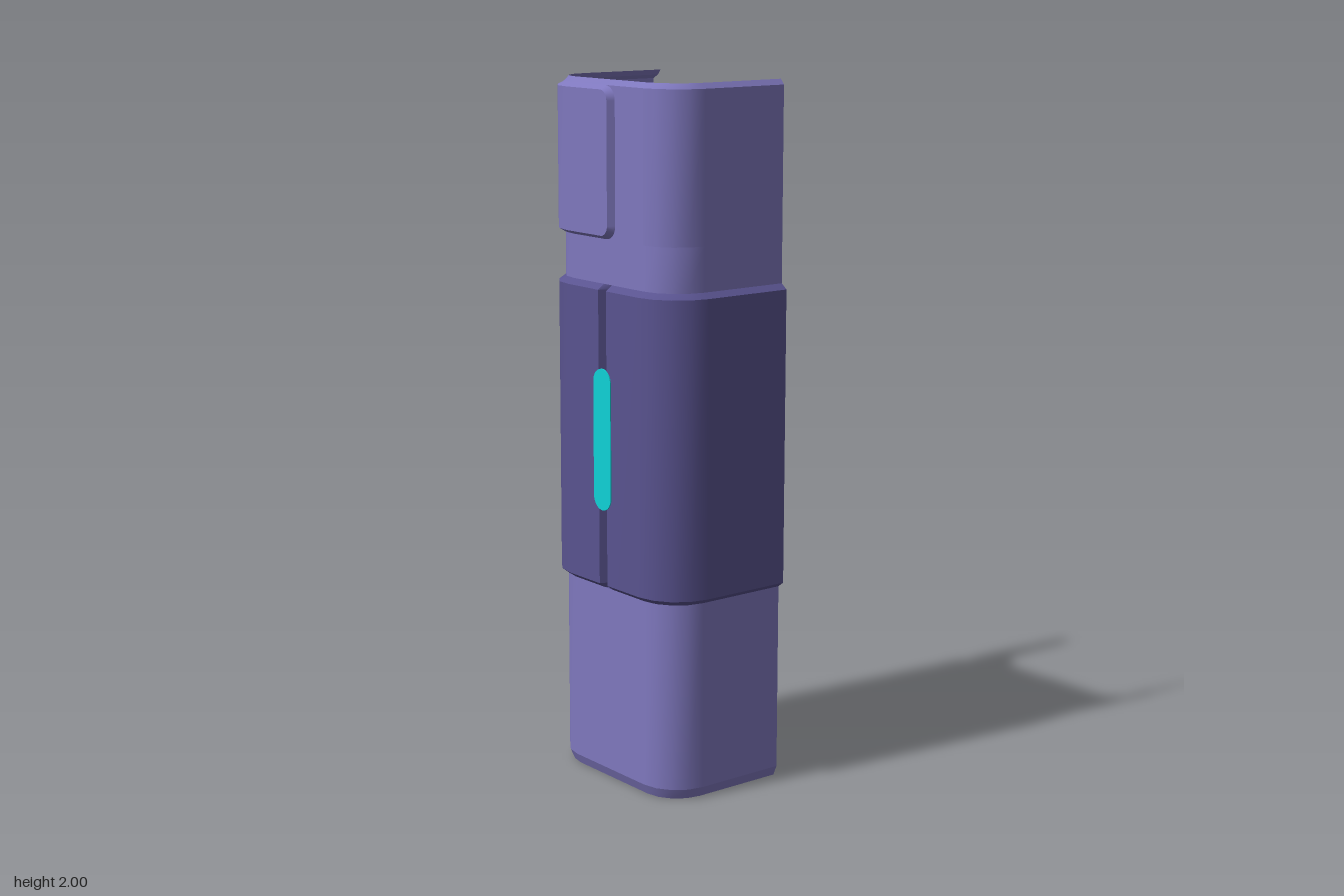
import * as THREE from 'three';

const BODY_R = 0.118, RAISED_R = 0.138, RIM_R = 0.105; // corner radii = offset of each layer
const CX = 0.16, CZ = 0.065, BACK = -0.21;
const PATCH_LOW = 1.565, PATCH_HIGH = 1.985, PATCH_X = 0.035;

const mat = (name, color) => {
  const m = new THREE.MeshStandardMaterial({ color, side: THREE.DoubleSide });
  m.name = name;
  return m;
};

// Plan of one side wall and its rounded corner, ending on the flat front
function sidePlan(r, s) {
  const pts = [[s * (CX + r), BACK]];
  for (let i = 0; i <= 4; i++) {
    const a = (i / 4) * Math.PI / 2;
    pts.push([s * (CX + r * Math.cos(a)), CZ + r * Math.sin(a)]);
  }
  return s < 0 ? pts : pts.reverse();
}
const fullPlan = (r) => [...sidePlan(r, -1), ...sidePlan(r, 1)];
// Half of the plan, stopping at the edge of the centre groove
const halfPlan = (s) => (r) => {
  const edge = [s * 0.018, CZ + r];
  return s < 0 ? [...sidePlan(r, s), edge] : [edge, ...sidePlan(r, s)];
};
const groovePlan = (s) => (r) => {
  const p = [[s * 0.018, CZ + r], [0, 0.157]];
  return s < 0 ? p : p.reverse();
};

// Surface between two equally long rows of 3D points
function strip(rowA, rowB) {
  const n = rowA.length, index = [];
  for (let i = 0; i < n - 1; i++) index.push(i, i + 1, n + i + 1, i, n + i + 1, n + i);
  const g = new THREE.BufferGeometry();
  g.setAttribute('position', new THREE.Float32BufferAttribute([...rowA, ...rowB].flat(), 3));
  g.setIndex(index);
  g.computeVertexNormals();
  return g;
}
const atHeight = (plan, y) => plan.map(([x, z]) => [x, y, z]);

// Rounded outline of the raised patch on the flat front
function patchOutline(inset) {
  const r = 0.04 - inset, x = PATCH_X - 0.04;
  const lo = PATCH_LOW + 0.04, hi = PATCH_HIGH - 0.04;
  const pts = [[-CX, PATCH_LOW + inset]];
  for (const [cy, start] of [[lo, -Math.PI / 2], [hi, 0]])
    for (let i = 0; i <= 6; i++) {
      const a = start + (i / 6) * Math.PI / 2;
      pts.push([x + r * Math.cos(a), cy + r * Math.sin(a)]);
    }
  pts.push([-CX, PATCH_HIGH - inset]);
  return pts;
}
function flatPlate(points, z) {
  const shape = new THREE.Shape(points.map(([x, y]) => new THREE.Vector2(x, y)));
  return new THREE.ShapeGeometry(shape).translate(0, 0, z);
}

export function createModel() {
  const model = new THREE.Group();
  model.name = 'deviceShell';
  const purple = mat('soft purple', 0x7f78be);
  const dark = mat('dark purple', 0x59538f);
  const teal = mat('teal', 0x10d2d6);

  const add = (name, geometry, material) => {
    const m = new THREE.Mesh(geometry, material);
    m.name = name;
    model.add(m);
  };
  // Lofts a plan through [height, radius] levels, with a crisp edge at each level
  const loft = (name, plan, levels, material) => {
    for (let i = 0; i < levels.length - 1; i++) {
      const [y0, r0] = levels[i], [y1, r1] = levels[i + 1];
      add(name, strip(atHeight(plan(r0), y0), atHeight(plan(r1), y1)), material);
    }
  };

  // Main U-shaped shell with chamfered rims
  loft('lowerShell', fullPlan, [[0, RIM_R], [0.03, BODY_R], [0.57, BODY_R]], purple);
  loft('collar', fullPlan, [[1.44, BODY_R], [PATCH_LOW, BODY_R]], purple);
  loft('topRim', fullPlan, [[PATCH_HIGH, BODY_R], [2, RIM_R]], purple);
  loft('upperSide', (r) => sidePlan(r, 1), [[PATCH_LOW, BODY_R], [PATCH_HIGH, BODY_R]], purple);

  // Upper front, cut around the patch
  const outline = patchOutline(0);
  add('upperFront', flatPlate(
    [...outline.slice(1, -1), [CX, PATCH_HIGH], [CX, PATCH_LOW]], CZ + BODY_R), purple);

  // Raised patch wrapping from the front onto the side
  const inset = 0.011, inner = patchOutline(inset);
  add('patchFront', flatPlate(inner, CZ + RAISED_R), purple);
  add('patchBevel', strip(
    outline.map(([x, y]) => [x, y, CZ + BODY_R]),
    inner.map(([x, y]) => [x, y, CZ + RAISED_R])), purple);
  loft('patchSide', (r) => sidePlan(r, -1), [
    [PATCH_LOW, BODY_R], [PATCH_LOW + inset, RAISED_R],
    [PATCH_HIGH - inset, RAISED_R], [PATCH_HIGH, BODY_R],
  ], purple);

  // Raised middle band in two halves, lined inside, with a V groove between
  const band = [[0.57, BODY_R], [0.585, RAISED_R], [1.425, RAISED_R], [1.44, BODY_R]];
  const lining = band.map(([y, r]) => [y, r - 0.002]);
  for (const s of [-1, 1]) {
    loft('bandHalf', halfPlan(s), band, dark);
    loft('bandLining', halfPlan(s), lining, purple);
    loft('bandGroove', groovePlan(s), band, dark);
    loft('grooveLining', (r) => groovePlan(s)(r).map(([x, z]) => [x, z - 0.002]), band, purple);
  }
  // Small triangles closing the ends of the groove
  for (const y of [0.57, 1.44]) {
    const z = CZ + BODY_R;
    add('grooveEnd', strip(
      [[-0.018, y, z], [0, y, 0.157], [0.018, y, z]],
      [[-0.018, y, z], [0, y, z], [0.018, y, z]]), dark);
  }

  // Pill-shaped light
  const pill = new THREE.Shape();
  pill.absarc(0, 1.167, 0.039, 0, Math.PI);
  pill.absarc(0, 0.841, 0.039, Math.PI, Math.PI * 2);
  add('indicatorLight', new THREE.ExtrudeGeometry(pill, {
    depth: 0.004, bevelEnabled: false, curveSegments: 12,
  }).translate(0, 0, CZ + RAISED_R - 0.001), teal);

  return model;
}
